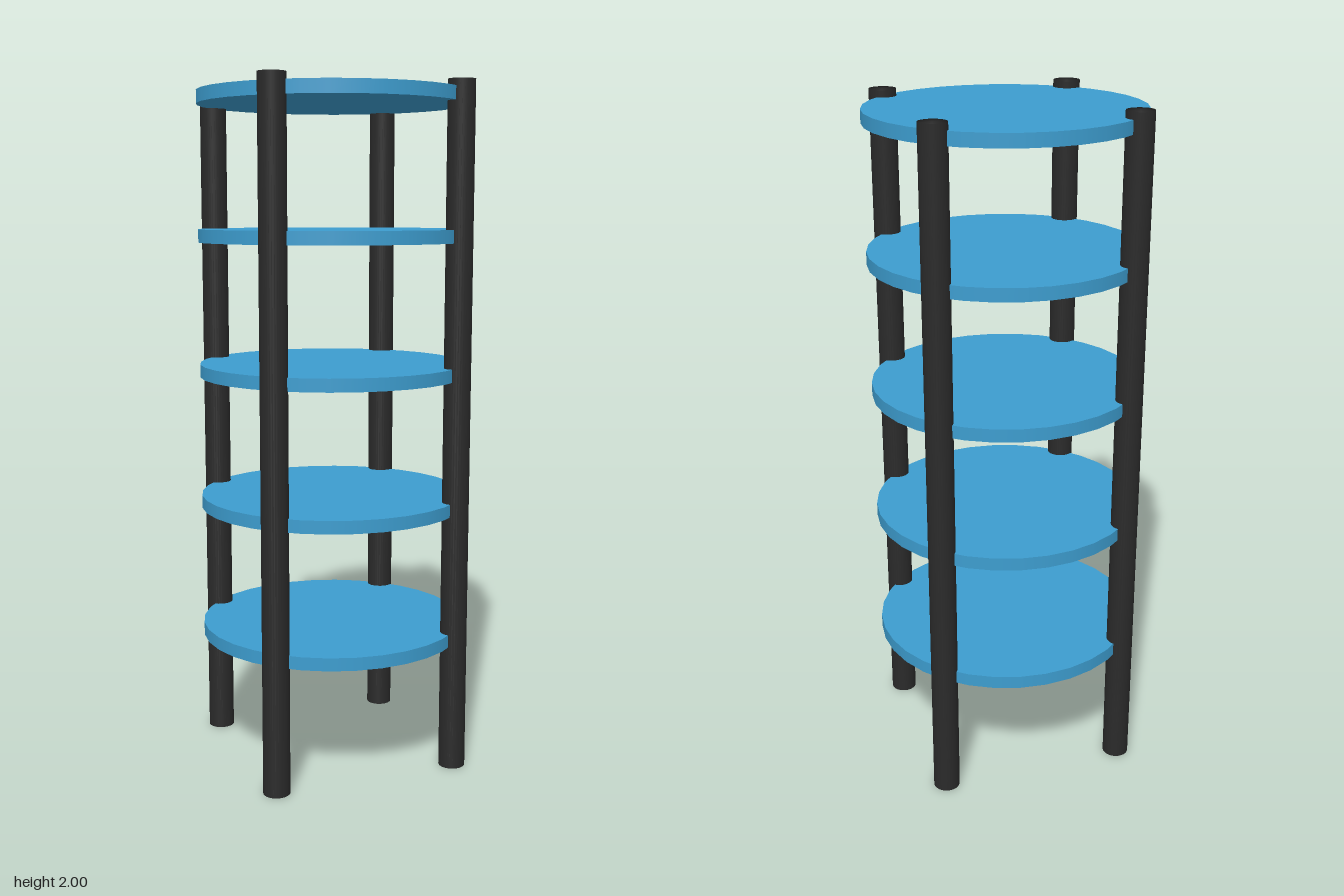
import * as THREE from 'three';
import { mergeVertices } from 'three/addons/utils/BufferGeometryUtils.js';

// Weld the caps to the wall so the rim is shaded softly
function softCylinder(radius, height, sides) {
  const geometry = new THREE.CylinderGeometry(radius, radius, height, sides);
  geometry.deleteAttribute('uv');
  geometry.deleteAttribute('normal');
  const welded = mergeVertices(geometry, 1e-4);
  welded.computeVertexNormals();
  return welded;
}

export function createModel() {
  const group = new THREE.Group();
  const blue = new THREE.MeshStandardMaterial({ color: 0x3d9dcf });
  const black = new THREE.MeshStandardMaterial({ color: 0x2a2a2a });

  // Five evenly spaced round shelves
  const shelfGeometry = new THREE.CylinderGeometry(0.392, 0.392, 0.038, 32);
  for (let i = 0; i < 5; i++) {
    const shelf = new THREE.Mesh(shelfGeometry, blue);
    shelf.name = `shelf${i + 1}`;
    shelf.position.y = 0.393 + i * 0.392;
    group.add(shelf);
  }

  // Four posts set on the shelf rims
  const postGeometry = softCylinder(0.039, 2, 32);
  for (const [side, x] of [['Left', 0.277], ['Right', -0.277]]) {
    for (const [end, z] of [['front', 0.277], ['back', -0.277]]) {
      const post = new THREE.Mesh(postGeometry, black);
      post.name = `${end}${side}Post`;
      post.position.set(x, 1, z);
      group.add(post);
    }
  }
  return group;
}
